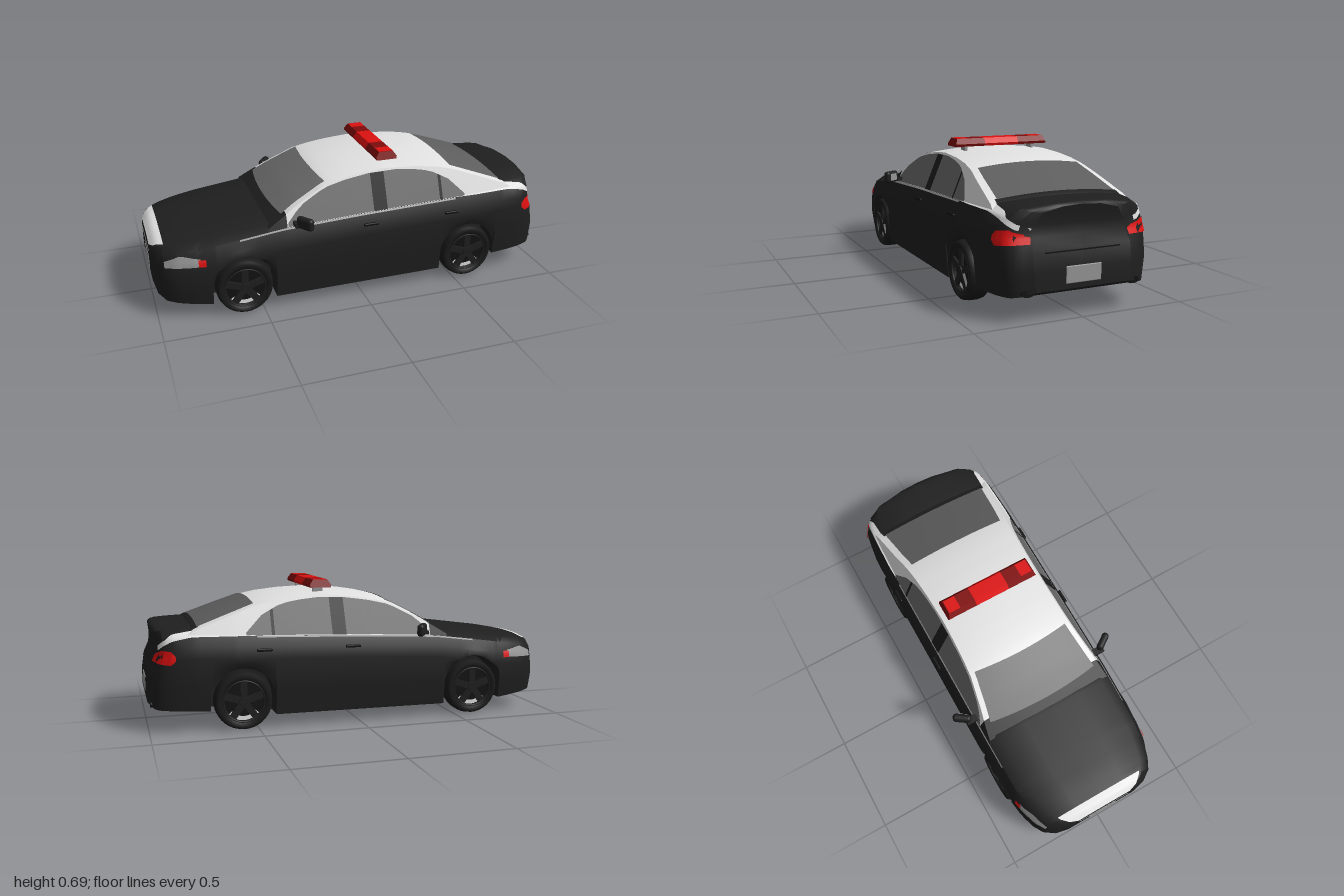
import * as THREE from 'three';
import { toCreasedNormals } from 'three/addons/utils/BufferGeometryUtils.js';
import { RoundedBoxGeometry } from 'three/addons/geometries/RoundedBoxGeometry.js';

const paint = (name, color) => new THREE.MeshStandardMaterial({ name, color, side: THREE.DoubleSide });
const black = paint('black paint', 0x1f1f1f);
const rubber = paint('tyre rubber', 0x1a1a1a);
const trim = paint('dark trim', 0x121212);
const white = paint('white paint', 0xe2e2e2);
const glass = paint('tinted glass', 0x6c6c6c);
const rearGlass = paint('dark rear glass', 0x5e5e5e);
const lamp = paint('lamp grey', 0x969696);
const red = paint('red lens', 0xdd1010);
const darkRed = paint('dark red lens', 0x800c0c);

const lerp = THREE.MathUtils.lerp;
// Piecewise linear lookup in a short [x, value] table
const lin = (t) => (x) => {
  if (x <= t[0][0]) return t[0][1];
  for (let i = 1; i < t.length; i++) {
    const [a, p] = t[i - 1], [b, q] = t[i];
    if (x <= b) return lerp(p, q, (x - a) / (b - a));
  }
  return t[t.length - 1][1];
};
const steps = (a, b, n) => Array.from({ length: n + 1 }, (_, i) => lerp(a, b, i / n));

// Body curves along the length (nose at -x)
const width = lin([[-1, 0.2], [-0.985, 0.26], [-0.95, 0.31], [-0.9, 0.34], [-0.82, 0.365], [-0.72, 0.378], [-0.4, 0.383],
  [0.6, 0.383], [0.8, 0.374], [0.9, 0.36], [0.95, 0.338], [0.98, 0.305], [1, 0.235]]);
const topY = lin([[-1, 0.33], [-0.97, 0.36], [-0.85, 0.383], [-0.7, 0.402], [-0.46, 0.432], [0, 0.445], [0.5, 0.47],
  [0.79, 0.489], [0.98, 0.488], [1, 0.478]]);
const shoulderY = lin([[-1, 0.3], [-0.95, 0.318], [-0.85, 0.337], [-0.7, 0.362], [-0.4, 0.402], [0, 0.422], [0.5, 0.438],
  [0.8, 0.447], [0.95, 0.435], [1, 0.4]]);
const floorY = lin([[-1, 0.15], [-0.985, 0.11], [-0.95, 0.09], [-0.735, 0.07], [-0.44, 0.06], [0.42, 0.065], [0.73, 0.1],
  [0.97, 0.11], [1, 0.13]]);
// The tail leans forward above the bumper, then kicks back to a lip
const tailLean = lin([[0.27, 0], [0.36, 0.04], [0.42, 0.04], [0.48, 0.025]]);
const bend = (x, y) => x - Math.max(0, x - 0.88) / 0.12 * tailLean(y);
const AXLES = [-0.59, 0.57], ARCH = 0.152, AXLE_Y = 0.14;

// Half cross-section as [z, y], from bottom centre up to top centre, with the wheel well cut in
function section(x) {
  const w = width(x), t = topY(x), s = shoulderY(x), f = floorY(x);
  let b = f;
  for (const c of AXLES) {
    const d = ARCH * ARCH - (x - c) ** 2;
    if (d > 0) b = Math.max(b, AXLE_Y + Math.sqrt(d));
  }
  const mid = Math.max(s - 0.1, b + 0.01), zi = Math.min(0.26, w * 0.8);
  return [[0, f], [zi, f], [zi, b], [w - 0.012, b], [w, (b + mid) / 2], [w, mid], [w - 0.01, s - 0.05],
    [w * 0.91, s], [w * 0.78, lerp(s, t, 0.65)], [w * 0.4, lerp(s, t, 0.93)], [0, t]];
}
function bodyZ(x, y) {
  const p = section(x);
  for (let i = 3; i < p.length - 1; i++)
    if (y <= p[i + 1][1]) return lerp(p[i][0], p[i + 1][0], Math.max(0, (y - p[i][1]) / (p[i + 1][1] - p[i][1])));
  return 0;
}
function bodyTop(x, z) {
  const p = section(x);
  for (let i = 6; i < p.length - 1; i++)
    if (Math.abs(z) >= p[i + 1][0]) return lerp(p[i + 1][1], p[i][1], (Math.abs(z) - p[i + 1][0]) / (p[i][0] - p[i + 1][0]));
  return p[p.length - 1][1];
}

// Cabin: roof line, its outer edge and the leaning side plane
const roofY = lin([[-0.46, 0.43], [-0.32, 0.515], [-0.17, 0.59], [-0.09, 0.609], [0, 0.623], [0.13, 0.635], [0.3, 0.627],
  [0.41, 0.614], [0.5, 0.595], [0.65, 0.542], [0.79, 0.491], [0.82, 0.47]]);
const edgeY = (x) => roofY(x) - 0.022;
const cabinZ = (x, y) => width(x) * 0.905 - 0.42 * (y - shoulderY(x));

function add(parent, name, geo, mat, x = 0, y = 0, z = 0) {
  const m = new THREE.Mesh(geo, mat);
  m.name = name;
  m.position.set(x, y, z);
  parent.add(m);
  return m;
}
// Surface through fn(u, v) -> [x, y, z]
function grid(us, vs, fn) {
  const pos = [], idx = [], n = vs.length;
  for (const u of us) for (const v of vs) pos.push(...fn(u, v));
  for (let i = 0; i < us.length - 1; i++) for (let j = 0; j < n - 1; j++) {
    const a = i * n + j, b = a + n;
    idx.push(a, b, b + 1, a, b + 1, a + 1);
  }
  const g = new THREE.BufferGeometry();
  g.setAttribute('position', new THREE.Float32BufferAttribute(pos, 3));
  g.setIndex(idx);
  return toCreasedNormals(g, 0.6);
}
// Mirrored strip between heights lo(x) and hi(x), laid on a side surface
function sideStrip(parent, name, mat, xs, lo, hi, zf, lift = 0.004, rows = 4) {
  for (const s of [1, -1])
    add(parent, name, grid(xs, steps(s > 0 ? 0 : 1, s > 0 ? 1 : 0, rows), (x, v) => {
      const y = lerp(lo(x), hi(x), v);
      return [bend(x, y), y, s * (zf(x, y) + lift)];
    }), mat);
}

function addBody(car) {
  const xs = [...steps(-1, 1, 50), -0.985, -0.97, -0.95, -0.9, 0.95, 0.975, 0.985, 0.99];
  for (const c of AXLES) {
    for (const a of steps(0.06, Math.PI - 0.06, 20)) xs.push(c - ARCH * Math.cos(a));
    xs.push(c - ARCH - 0.001, c + ARCH + 0.001);
  }
  xs.sort((a, b) => a - b);
  const ring = (x) => {
    const p = section(x);
    return [...p, ...p.slice(0, -1).reverse().map(([z, y]) => [-z, y])];
  };
  add(car, 'bodyShell', grid(xs, ring(0).map((_, i) => i), (x, i) => {
    const [z, y] = ring(x)[i];
    return [bend(x, y), y, z];
  }), black);
  for (const s of [1, -1])
    add(car, s > 0 ? 'rearFace' : 'noseFace', grid(section(s).slice(3), [-s, 0, s],
      ([z, y], v) => [bend(s, y), y, z * v]), black);
}

function addCabin(car) {
  const xs = [...steps(-0.37, -0.17, 6), ...steps(-0.13, 0.79, 24), 0.82];
  const frontXs = steps(-0.46, -0.37, 3);
  const top = (lift) => (x, v) => {
    const e = edgeY(x);
    return [x, lerp(e, roofY(x), 1 - v * v) + lift, v * cabinZ(x, e)];
  };
  add(car, 'roof', grid(xs, steps(1, -1, 16), top(0)), white);
  add(car, 'cowl', grid(frontXs, steps(1, -1, 16), top(0)), black);
  add(car, 'windscreen', grid(steps(0, 1, 8), steps(0.91, -0.91, 12), (u, v) =>
    top(0.004)(lerp(-0.415 + 0.03 * v * v, -0.18 + 0.025 * v * v, u), v)), glass);
  add(car, 'rearWindow', grid(steps(0.5, 0.77, 8), steps(0.89, -0.89, 12), top(0.004)), rearGlass);
  add(car, 'rearDeck', grid(steps(0.765, 0.82, 3), steps(0.92, -0.92, 12), top(0.003)), black);
  const base = (x) => Math.min(shoulderY(x) - 0.01, edgeY(x));
  sideStrip(car, 'cabinSide', white, xs, base, edgeY, cabinZ, 0);
  sideStrip(car, 'pillarFoot', black, frontXs, base, edgeY, cabinZ, 0);
  // Side glazing and pillars
  const sill = (x) => shoulderY(x) + 0.004;
  const head = lin([[-0.365, 0.425], [-0.3, 0.493], [-0.17, 0.56], [-0.06, 0.584], [0.06, 0.6], [0.2, 0.603], [0.3, 0.593],
    [0.38, 0.577], [0.47, 0.532], [0.55, 0.455]]);
  sideStrip(car, 'sideWindow', glass, [...steps(-0.365, 0.06, 10), ...steps(0.08, 0.55, 12)], sill, head, cabinZ);
  sideStrip(car, 'doorPillar', black, steps(0.065, 0.135, 2), sill, head, cabinZ, 0.006);
  sideStrip(car, 'quarterDivider', black, steps(0.415, 0.43, 1), sill, head, cabinZ, 0.006);
}

function addPaintedDetails(car) {
  // White flank running from the rear pillar along the boot lid, down to the tail lights
  const flankLo = lin([[0.5, 0.44], [0.8, 0.444], [0.9, 0.424], [0.96, 0.4], [1, 0.366]]);
  const flankRise = lin([[0.5, 0.62], [0.75, 0.62], [0.9, 0.3], [0.96, 0]]);
  sideStrip(car, 'rearFlank', white, steps(0.5, 0.998, 22), flankLo,
    (x) => Math.max(flankLo(x) + 0.022, lerp(shoulderY(x), topY(x), flankRise(x)) - Math.max(0, x - 0.9) * 0.5), bodyZ);
  sideStrip(car, 'beltTrim', lamp, steps(-0.6, 0.5, 16), (x) => shoulderY(x) - 0.006, (x) => shoulderY(x) + 0.001, bodyZ, 0.003, 1);
  sideStrip(car, 'headlight', lamp, steps(-0.95, -0.79, 10), lin([[-0.95, 0.268], [-0.79, 0.278]]),
    lin([[-0.95, 0.295], [-0.88, 0.326], [-0.79, 0.312]]), bodyZ);
  sideStrip(car, 'frontMarker', red, steps(-0.8, -0.765, 2), () => 0.277, () => 0.309, bodyZ, 0.006);
  sideStrip(car, 'tailLight', red, steps(0.875, 0.999, 10), lin([[0.875, 0.34], [0.9, 0.32], [1, 0.328]]),
    lin([[0.875, 0.362], [0.9, 0.382], [0.96, 0.386], [1, 0.362]]), bodyZ, 0.005);
  add(car, 'noseBand', grid(steps(-1, -0.94, 4), steps(1, -1, 14), (x, v) => {
    const z = v * width(x) * 0.74;
    return [x, bodyTop(x, z) + 0.004, z];
  }), white);
  // Boot lid seam, number plates and grille
  add(car, 'bootSeam', new THREE.BoxGeometry(0.004, 0.005, 0.36), trim, 0.992, 0.29, 0);
  add(car, 'rearPlate', new RoundedBoxGeometry(0.008, 0.075, 0.17, 2, 0.004), lamp, 0.999, 0.19, 0);
  add(car, 'frontPlate', new THREE.BoxGeometry(0.008, 0.08, 0.15), lamp, -0.999, 0.2, 0);
  add(car, 'grille', new THREE.BoxGeometry(0.006, 0.05, 0.3), trim, -0.999, 0.272, 0);
  add(car, 'grilleBar', new THREE.BoxGeometry(0.008, 0.008, 0.28), lamp, -1, 0.29, 0);
}

function addSideFittings(car) {
  for (const s of [1, -1]) {
    const mirror = new THREE.Group();
    mirror.name = 'doorMirror';
    mirror.position.set(-0.3, 0.443, s * 0.408);
    mirror.rotation.y = s * 0.6;
    add(mirror, 'mirrorHousing', new RoundedBoxGeometry(0.035, 0.06, 0.092, 4, 0.016), black);
    add(mirror, 'mirrorGlass', new THREE.BoxGeometry(0.004, 0.036, 0.05), lamp, 0.017);
    car.add(mirror);
    add(car, 'mirrorStalk', new THREE.BoxGeometry(0.035, 0.016, 0.06), black, -0.325, 0.425, s * 0.365);
    for (const x of [0.04, 0.47])
      add(car, 'doorHandle', new RoundedBoxGeometry(0.075, 0.014, 0.014, 2, 0.005), trim, x, 0.375, s * 0.378);
    add(car, 'exhaust', new THREE.CylinderGeometry(0.016, 0.016, 0.06, 16).rotateZ(Math.PI / 2).scale(1, 1, 2), trim, 0.96, 0.128, s * 0.255);
  }
}

function addWheels(car) {
  const tyre = new THREE.LatheGeometry([[0.098, -0.045], [0.122, -0.052], [0.132, -0.042], [0.137, -0.02], [0.137, 0.02],
    [0.132, 0.042], [0.122, 0.052], [0.098, 0.045], [0.094, 0.02]].map(([r, h]) => new THREE.Vector2(r, h)), 36).rotateX(Math.PI / 2);
  for (const x of AXLES) for (const s of [1, -1]) {
    const wheel = new THREE.Group();
    wheel.name = 'wheel';
    wheel.position.set(x, 0.137, s * 0.332);
    if (s < 0) wheel.rotation.y = Math.PI;
    add(wheel, 'tyre', tyre, rubber);
    add(wheel, 'wheelDisc', new THREE.CylinderGeometry(0.1, 0.1, 0.05, 30).rotateX(Math.PI / 2), trim);
    add(wheel, 'rimLip', new THREE.TorusGeometry(0.097, 0.005, 6, 36), black, 0, 0, 0.043);
    add(wheel, 'rimInside', new THREE.RingGeometry(0.072, 0.092, 20, 1, Math.PI * 1.22, Math.PI * 0.56), white, 0, 0, 0.028);
    for (let i = 0; i < 5; i++) {
      const a = Math.PI / 2 + i * Math.PI * 0.4;
      const spoke = add(wheel, 'spoke', new THREE.BoxGeometry(0.085, 0.032, 0.012), black, 0.055 * Math.cos(a), 0.055 * Math.sin(a), 0.038);
      spoke.rotation.z = a;
    }
    add(wheel, 'hub', new THREE.CylinderGeometry(0.022, 0.026, 0.016, 20).rotateX(Math.PI / 2), black, 0, 0, 0.041);
    car.add(wheel);
  }
}

function addLightBar(car) {
  const bar = new THREE.Group();
  bar.name = 'lightBar';
  bar.position.set(0.165, 0.646, 0);
  const profile = new THREE.Shape([[-0.05, 0], [0.05, 0], [0.054, 0.012], [0.036, 0.038], [-0.036, 0.038], [-0.054, 0.012]]
    .map(([x, y]) => new THREE.Vector2(x, y)));
  const cuts = [-0.245, -0.09, 0.09, 0.245];
  for (let i = 0; i < 3; i++) {
    const geo = new THREE.ExtrudeGeometry(profile, { depth: cuts[i + 1] - cuts[i], bevelEnabled: false }).translate(0, 0, cuts[i]);
    const p = geo.attributes.position;
    // Slope the outer ends inward towards the top
    for (let k = 0; k < p.count; k++)
      if (Math.abs(p.getZ(k)) > 0.24) p.setZ(k, Math.sign(p.getZ(k)) * (0.247 - 0.35 * p.getY(k)));
    geo.computeVertexNormals();
    add(bar, i === 1 ? 'centreLens' : 'outerLens', geo, i === 1 ? red : darkRed);
  }
  for (const s of [1, -1]) {
    add(bar, 'topLens', new THREE.BoxGeometry(0.07, 0.002, 0.06), red, 0, 0.038, s * 0.2);
    add(bar, 'barFoot', new THREE.BoxGeometry(0.05, 0.028, 0.012), lamp, 0, -0.012, s * 0.18);
  }
  car.add(bar);
}

export function createModel() {
  const car = new THREE.Group();
  car.name = 'patrolCar';
  for (const build of [addBody, addCabin, addPaintedDetails, addSideFittings, addWheels, addLightBar]) build(car);
  return car;
}
